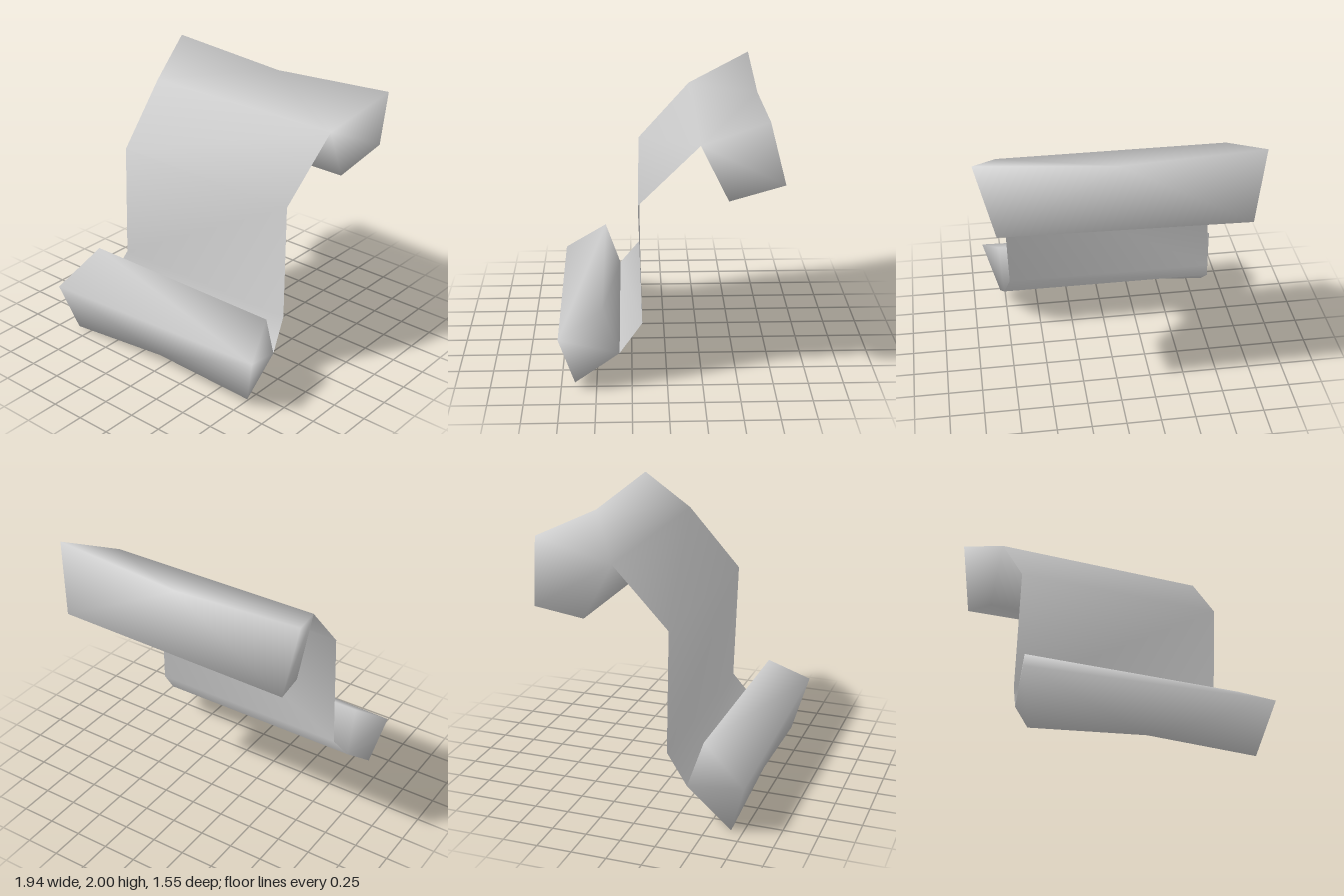
import * as THREE from 'three';

// Each row is one fold line across the sheet, from the -x edge to the +x edge.
const rows = {
  // lower roll
  S: [[-0.845, 0.27, 0.335], [0.77, 0.27, 0.335]],
  P: [[-0.83, 0.61, 0.45], [0.79, 0.61, 0.45]],
  Q: [[-0.95, 0.37, 0.775], [0.91, 0.445, 0.755]],
  R: [[-0.87, 0.0, 0.665], [-0.03, 0.08, 0.655], [0.79, 0.055, 0.65]],
  // hanging sheet
  N: [[-0.805, 0.48, 0.175], [0.73, 0.48, 0.175]],
  M: [[-0.775, 1.36, 0.18], [0.755, 1.36, 0.2]],
  // upper roll
  A: [[-0.8, 1.79, -0.21], [0.8, 1.79, -0.215]],
  B: [[-0.97, 1.99, -0.68], [0, 1.93, -0.66], [0.97, 2.0, -0.65]],
  C: [[-0.89, 1.47, -0.745], [0.84, 1.525, -0.78]],
  D: [[-0.81, 1.39, -0.42], [0.77, 1.39, -0.41]],
};

export function createModel() {
  const group = new THREE.Group();
  group.name = 'scroll';
  const paper = new THREE.MeshStandardMaterial({ color: 0xcccccc, side: THREE.DoubleSide });
  paper.name = 'paper grey';

  // Shared corner points, so shading runs smoothly from sheet to rolls
  const positions = [];
  const ids = {};
  for (const [key, points] of Object.entries(rows)) {
    ids[key] = points.map((p) => positions.push(...p) / 3 - 1);
  }

  // Face strip between two fold lines of two or three points
  const strip = (ka, kb) => {
    const a = ids[ka], b = ids[kb];
    const a0 = a[0], a1 = a[a.length - 1], b0 = b[0], b1 = b[b.length - 1];
    if (b.length === 3) return [a0, a1, b[1], a1, b1, b[1], a0, b[1], b0];
    if (a.length === 3) return [a0, a[1], b0, a[1], b1, b0, a[1], a1, b1];
    return [a0, a1, b1, a0, b1, b0];
  };

  // Strips along a path of fold lines
  const path = (keys) => [...keys].slice(1).flatMap((k, i) => strip(keys[i], k));

  // Four-sided roll with both ends closed
  const roll = (keys) => {
    const l = [...keys].map((k) => ids[k][0]);
    const r = [...keys].map((k) => ids[k][ids[k].length - 1]);
    return [
      ...path(keys + keys[0]),
      l[0], l[1], l[2], l[0], l[2], l[3],
      r[2], r[1], r[0], r[3], r[2], r[0],
    ];
  };

  const parts = { lowerRoll: roll('SPQR'), sheet: path('SNMA'), upperRoll: roll('ABCD') };

  // Normals are worked out once for the whole sheet, then shared by the parts
  const whole = new THREE.BufferGeometry();
  whole.setAttribute('position', new THREE.Float32BufferAttribute(positions, 3));
  whole.setIndex(Object.values(parts).flat());
  whole.computeVertexNormals();

  for (const [name, index] of Object.entries(parts)) {
    const geometry = new THREE.BufferGeometry();
    geometry.setAttribute('position', whole.getAttribute('position').clone());
    geometry.setAttribute('normal', whole.getAttribute('normal').clone());
    geometry.setIndex(index);
    const mesh = new THREE.Mesh(geometry, paper);
    mesh.name = name;
    group.add(mesh);
  }
  return group;
}
